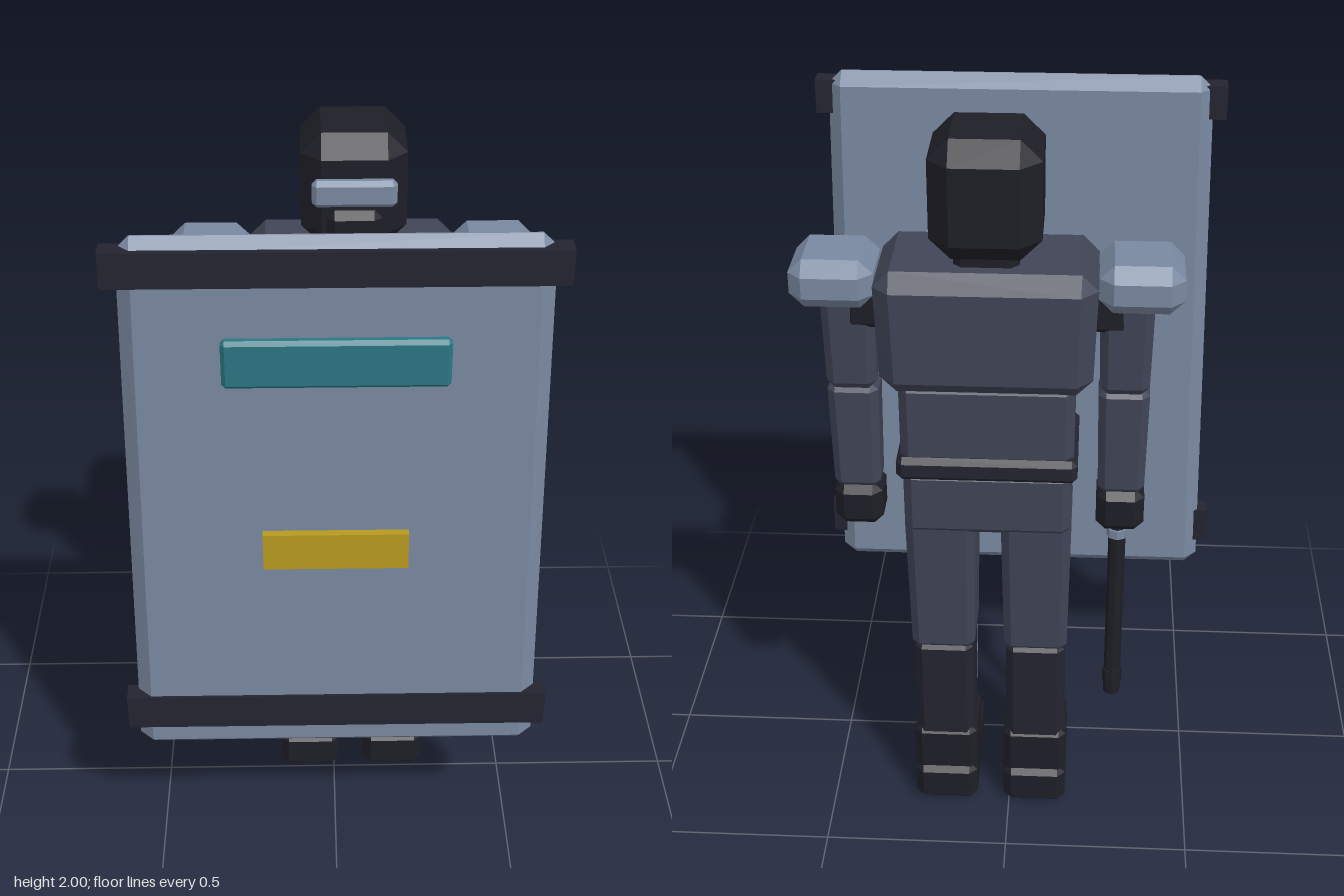
import * as THREE from 'three';
import { ConvexGeometry } from 'three/addons/geometries/ConvexGeometry.js';

const mat = (name, color) => {
  const m = new THREE.MeshStandardMaterial({ color });
  m.name = name;
  return m;
};

// Box with all edges chamfered by c; the bottom can be scaled in x and z by taper
function chamferBox(w, h, d, c, taper = [1, 1]) {
  const pts = [];
  for (const sx of [-1, 1]) for (const sy of [-1, 1]) for (const sz of [-1, 1]) {
    for (const [cx, cy, cz] of [[0, c, c], [c, 0, c], [c, c, 0]]) {
      const y = sy * (h / 2 - cy);
      const t = 0.5 - y / h; // 0 at the top, 1 at the bottom
      pts.push(new THREE.Vector3(
        sx * (w / 2 - cx) * (1 + (taper[0] - 1) * t), y,
        sz * (d / 2 - cz) * (1 + (taper[1] - 1) * t)));
    }
  }
  return new ConvexGeometry(pts);
}

// Adds a block given its centre x, width, and ranges in y and z
function block(parent, name, material, x, w, [y0, y1], [z0, z1], c = 0, taper) {
  const geo = c > 0 ? chamferBox(w, y1 - y0, z1 - z0, c, taper)
    : new THREE.BoxGeometry(w, y1 - y0, z1 - z0);
  const mesh = new THREE.Mesh(geo, material);
  mesh.name = name;
  mesh.position.set(x, (y0 + y1) / 2, (z0 + z1) / 2);
  parent.add(mesh);
  return mesh;
}

function group(parent, name) {
  const g = new THREE.Group();
  g.name = name;
  parent.add(g);
  return g;
}

export function createModel() {
  const steel = mat('steel', 0x7a89a1);
  const cloth = mat('slate cloth', 0x404556);
  const dark = mat('dark navy', 0x232430);
  const black = mat('helmet black', 0x1e1e27);
  const teal = mat('teal glass', 0x2a7783);
  const yellow = mat('yellow', 0xb89a20);

  const model = new THREE.Group();
  model.name = 'shieldGuard';

  // Body stands slightly off centre behind the shield
  const body = group(model, 'body');
  body.position.x = 0.053;

  // Head
  const head = group(body, 'head');
  block(head, 'helmet', black, 0, 0.27, [1.7, 2.0], [-0.365, -0.087], 0.052);
  block(head, 'visor', steel, 0, 0.214, [1.83, 1.9], [-0.1, -0.062], 0.012);
  block(head, 'jawGuard', black, 0, 0.14, [1.71, 1.82], [-0.12, -0.056], 0.02);
  block(head, 'neck', black, 0, 0.16, [1.64, 1.73], [-0.305, -0.14], 0.02);

  // Torso
  const torso = group(body, 'torso');
  block(torso, 'chest', cloth, 0, 0.545, [1.35, 1.675], [-0.378, -0.06], 0.042, [0.96, 1]);
  block(torso, 'chestPlate', steel, 0, 0.427, [1.485, 1.65], [-0.085, -0.025], 0.02);
  block(torso, 'abdomen', cloth, 0, 0.44, [1.13, 1.37], [-0.343, -0.1], 0.022);
  block(torso, 'belt', dark, 0, 0.46, [1.1, 1.165], [-0.36, -0.075], 0.015);
  block(torso, 'hips', cloth, 0, 0.43, [0.93, 1.12], [-0.347, -0.09], 0.022);

  for (const [side, s] of [['left', 1], ['right', -1]]) {
    // Arm
    const arm = group(body, side + 'Arm');
    const ax = s * 0.342;
    block(arm, 'shoulderJoint', black, s * 0.3, 0.09, [1.5, 1.63], [-0.3, -0.16], 0.015);
    block(arm, 'shoulderPad', steel, s * 0.375, 0.207, [1.56, 1.685], [-0.335, -0.12], 0.035);
    block(arm, 'upperArm', cloth, ax, 0.135, [1.32, 1.6], [-0.3, -0.145], 0.022, [0.92, 0.85]);
    block(arm, 'forearm', cloth, ax, 0.13, [1.02, 1.33], [-0.28, -0.17], 0.02, [0.92, 0.9]);
    block(arm, 'glove', black, ax, 0.125, [0.905, 1.03], [-0.28, -0.15], 0.025);

    // Leg
    const leg = group(body, side + 'Leg');
    const lx = s * 0.125;
    block(leg, 'thigh', cloth, lx, 0.185, [0.53, 0.98], [-0.335, -0.11], 0.022, [0.92, 0.82]);
    block(leg, 'lowerLeg', dark, lx, 0.16, [0.22, 0.55], [-0.315, -0.137], 0.02);
    block(leg, 'kneePad', black, lx, 0.14, [0.48, 0.615], [-0.15, -0.09], 0.02);
    block(leg, 'shinGuard', steel, lx, 0.156, [0.265, 0.48], [-0.145, -0.088], 0.02);
    block(leg, 'bootShaft', black, lx, 0.175, [0.06, 0.255], [-0.32, -0.128], 0.02);
    block(leg, 'bootFoot', black, lx, 0.175, [0, 0.125], [-0.335, 0.005], 0.022);
  }

  // Baton hanging from the right hand
  const baton = group(body, 'baton');
  for (const [name, material, r, y0, y1] of [
    ['batonShaft', black, 0.023, 0.33, 0.88], ['batonTip', black, 0.027, 0.365, 0.41],
    ['batonCollar', steel, 0.028, 0.86, 0.885], ['batonGrip', black, 0.021, 0.87, 0.98]]) {
    const geo = new THREE.CylinderGeometry(r, r, y1 - y0, 8).toNonIndexed();
    geo.computeVertexNormals();
    const mesh = new THREE.Mesh(geo, material);
    mesh.name = name;
    mesh.position.set(-0.338, (y0 + y1) / 2, -0.215);
    baton.add(mesh);
  }

  // Tall shield, a little wider at the bottom
  const shield = group(model, 'shield');
  block(shield, 'shieldPanel', steel, 0, 1.01, [0.41, 1.945], [0.283, 0.355], 0.034, [1.07, 1]);
  block(shield, 'topBar', dark, -0.001, 1.085, [1.83, 1.92], [0.307, 0.362]);
  block(shield, 'bottomBar', dark, 0, 1.13, [0.495, 0.6], [0.307, 0.362]);
  block(shield, 'viewWindow', teal, -0.001, 0.545, [1.57, 1.697], [0.345, 0.378], 0.01);
  block(shield, 'yellowPlate', yellow, -0.002, 0.368, [1.04, 1.145], [0.345, 0.377]);
  block(shield, 'handle', dark, 0.183, 0.085, [1.04, 1.365], [0.2, 0.29]);

  return model;
}
